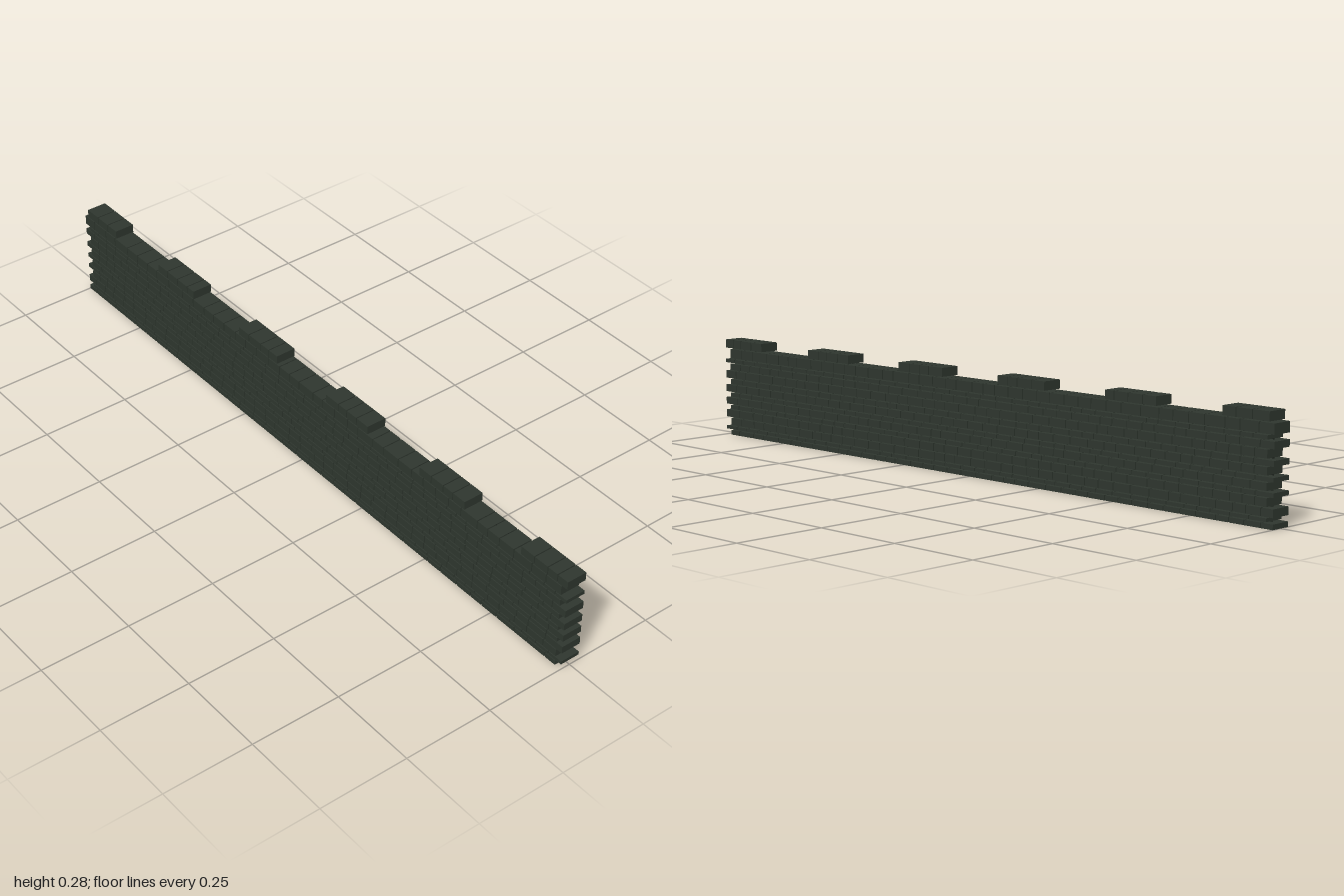
import * as THREE from 'three';
import { mergeGeometries } from 'three/addons/utils/BufferGeometryUtils.js';

const stone = new THREE.MeshStandardMaterial({ color: 0x2e362e });
stone.name = 'dark stone';
const mortarMat = new THREE.MeshStandardMaterial({ color: 0x151a15 });
mortarMat.name = 'shadowed mortar';

const DEPTH = 0.057;
const GAP = 0.003;

let seed = 11;
function random() {
  seed = (seed * 16807) % 2147483647;
  return seed / 2147483647;
}

// Fill a span with bricks of uneven length, separated by open joints
function brickRun(x0, x1, y0, y1, mean) {
  const count = Math.max(2, Math.round((x1 - x0) / mean));
  const weights = Array.from({ length: count }, () => 0.7 + 0.6 * random());
  const total = weights.reduce((a, b) => a + b, 0);
  const usable = x1 - x0 - GAP * (count - 1);
  const bricks = [];
  let x = x0;
  for (const w of weights) {
    const len = (usable * w) / total;
    const brick = new THREE.BoxGeometry(len, y1 - y0, DEPTH);
    brick.translate(x + len / 2, (y0 + y1) / 2, 0);
    bricks.push(brick);
    x += len + GAP;
  }
  return bricks;
}

export function createModel() {
  const group = new THREE.Group();
  group.name = 'brickWall';

  // Centre heights of the bed joints between courses
  const joints = [0.0145, 0.0265, 0.05, 0.0735, 0.0875, 0.1095, 0.1235, 0.146, 0.163, 0.187, 0.2075, 0.2205, 0.25];

  // Courses, shifted left and right in turn to leave toothed ends
  joints.forEach((top, i) => {
    const y0 = i === 0 ? 0 : joints[i - 1] + GAP / 2;
    const shift = i % 2 === 0 ? -0.01 : 0.01;
    const bricks = brickRun(-0.99 + shift, 0.99 + shift, y0, top - GAP / 2, 0.05);
    const course = new THREE.Mesh(mergeGeometries(bricks), stone);
    course.name = `course${i + 1}`;
    group.add(course);
  });

  // Raised blocks along the top
  const merlons = [[-0.985, -0.845], [-0.64, -0.475], [-0.27, -0.105], [0.1, 0.268], [0.47, 0.637], [0.84, 1]];
  merlons.forEach(([x0, x1], i) => {
    const merlon = new THREE.Mesh(mergeGeometries(brickRun(x0, x1, 0.2515, 0.275, 0.045)), stone);
    merlon.name = `merlon${i + 1}`;
    group.add(merlon);
  });

  // Thin mortar sheet closing the joints from behind
  const mortar = new THREE.Mesh(new THREE.BoxGeometry(1.955, 0.246, 0.002), mortarMat);
  mortar.position.y = 0.124;
  mortar.name = 'mortar';
  group.add(mortar);

  return group;
}
